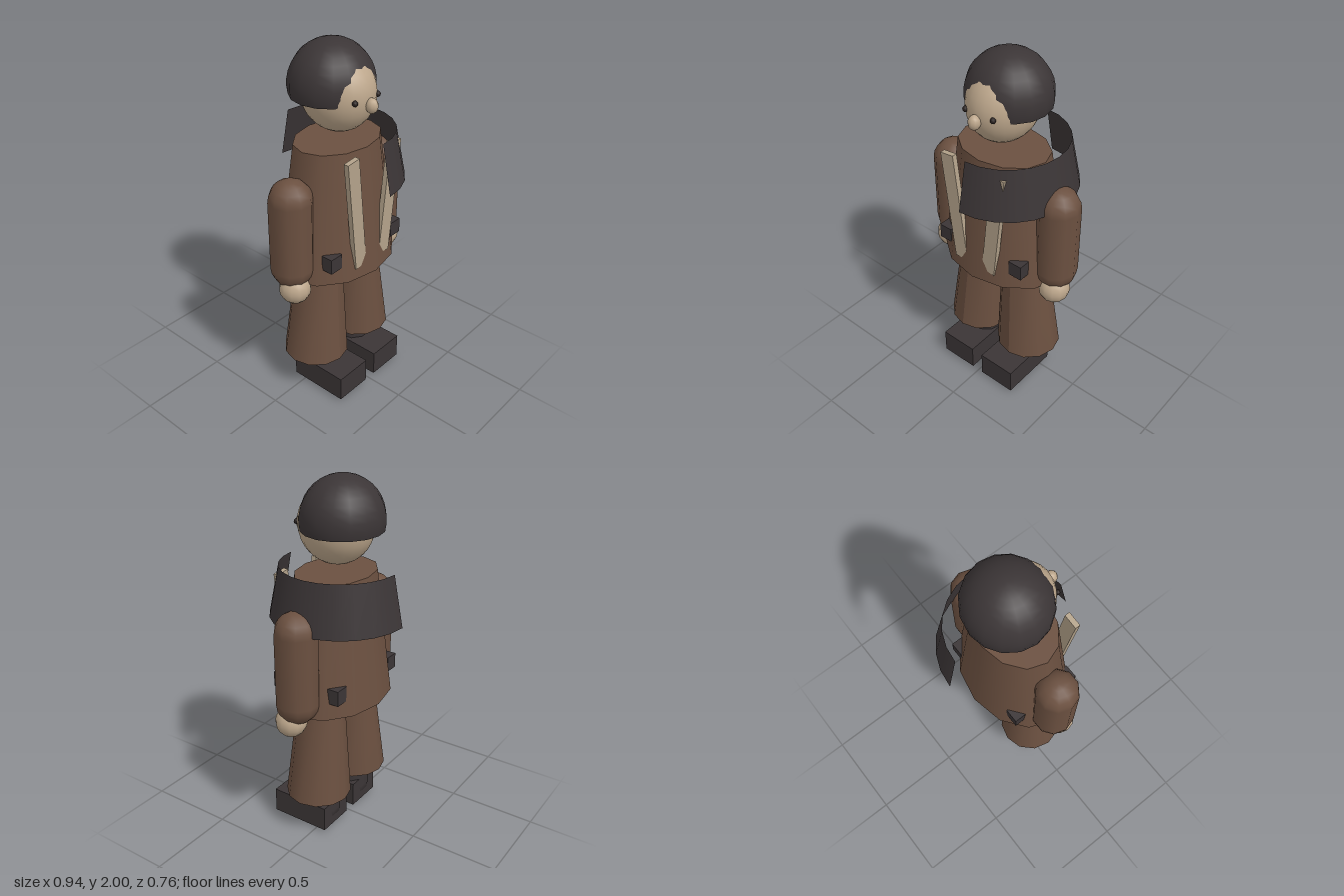
import * as THREE from 'three';

function mat(name, color, side = THREE.FrontSide) {
  const m = new THREE.MeshStandardMaterial({ color, side });
  m.name = name;
  return m;
}

export function createModel() {
  const brown = mat('brownCloth', 0x6b5040);
  const dark = mat('darkLeather', 0x3b3536, THREE.DoubleSide);
  const skin = mat('skin', 0xbda78c);
  const tan = mat('tanStrap', 0xb3a28a);
  const eyeDark = mat('eyeDark', 0x2a2220);

  const model = new THREE.Group();
  model.name = 'figure';
  const cz = 0.028; // depth of the body axis

  function add(name, geometry, material, x, y, z) {
    const mesh = new THREE.Mesh(geometry, material);
    mesh.name = name;
    mesh.position.set(x, y, z);
    model.add(mesh);
    return mesh;
  }
  const ball = (rx, ry, rz, w = 16, h = 12) => new THREE.SphereGeometry(1, w, h).scale(rx, ry, rz);

  // Head: face, cap of hair cut just under its equator, nose
  add('face', ball(0.18, 0.21, 0.21, 24, 16), skin, 0, 1.74, cz);
  const hairEnd = Math.PI / 2 + 0.24;
  add('hair', new THREE.SphereGeometry(1, 16, 10, 0, Math.PI * 2, 0, hairEnd).scale(0.23, 0.23, 0.222),
    dark, 0, 1.77, -0.012);
  add('nose', ball(0.032, 0.04, 0.034, 10, 8), skin, 0, 1.715, 0.248);

  // Coat body: flared oval with a flat top and bottom
  const coat = new THREE.CylinderGeometry(0.265, 0.37, 0.71, 12).scale(1, 1, 0.75);
  add('coat', coat, brown, 0, 1.135, cz);

  // Cape wrapped around one shoulder only
  add('shoulderCape', new THREE.CylinderGeometry(0.325, 0.38, 0.275, 12, 1, true, 0, Math.PI),
    dark, 0, 1.3975, 0);

  for (const [side, s] of [['left', 1], ['right', -1]]) {
    add(side + 'Eye', ball(0.015, 0.016, 0.015, 8, 6), eyeDark, s * 0.087, 1.742, 0.214);

    // Sleeve and hand
    add(side + 'Sleeve', new THREE.CapsuleGeometry(0.117, 0.391, 5, 10), brown, s * 0.355, 1.0625, cz);
    add(side + 'Hand', ball(0.086, 0.086, 0.086, 12, 10), skin, s * 0.373, 0.752, 0.06);

    // Flared trouser leg, leaning outward toward the hem
    const leg = new THREE.CylinderGeometry(0.124, 0.182, 0.625, 12);
    const p = leg.attributes.position;
    for (let i = 0; i < p.count; i++) p.setX(i, p.getX(i) - s * p.getY(i) * 0.058);
    leg.computeVertexNormals();
    add(side + 'TrouserLeg', leg, brown, s * 0.162, 0.5375, cz);

    // Boot: round shaft and blocky foot
    add(side + 'BootShaft', new THREE.CapsuleGeometry(0.107, 0.13, 4, 10), dark, s * 0.147, 0.172, cz);
    add(side + 'BootFoot', new THREE.BoxGeometry(0.222, 0.145, 0.35), dark, s * 0.147, 0.0875, 0.11);

    // Slanted chest strap
    const strap = add(side + 'Strap', new THREE.BoxGeometry(0.084, 0.64, 0.029), tan, s * 0.13, 1.165, 0.265);
    strap.rotation.z = -s * 0.115;

    // Pouches at the front and back corners of the coat
    for (const [end, z] of [['Front', 0.207], ['Back', -0.145]]) {
      add(side + end + 'Pouch', new THREE.BoxGeometry(0.08, 0.085, 0.066), dark, s * 0.245, 0.912, z);
    }
  }
  return model;
}
